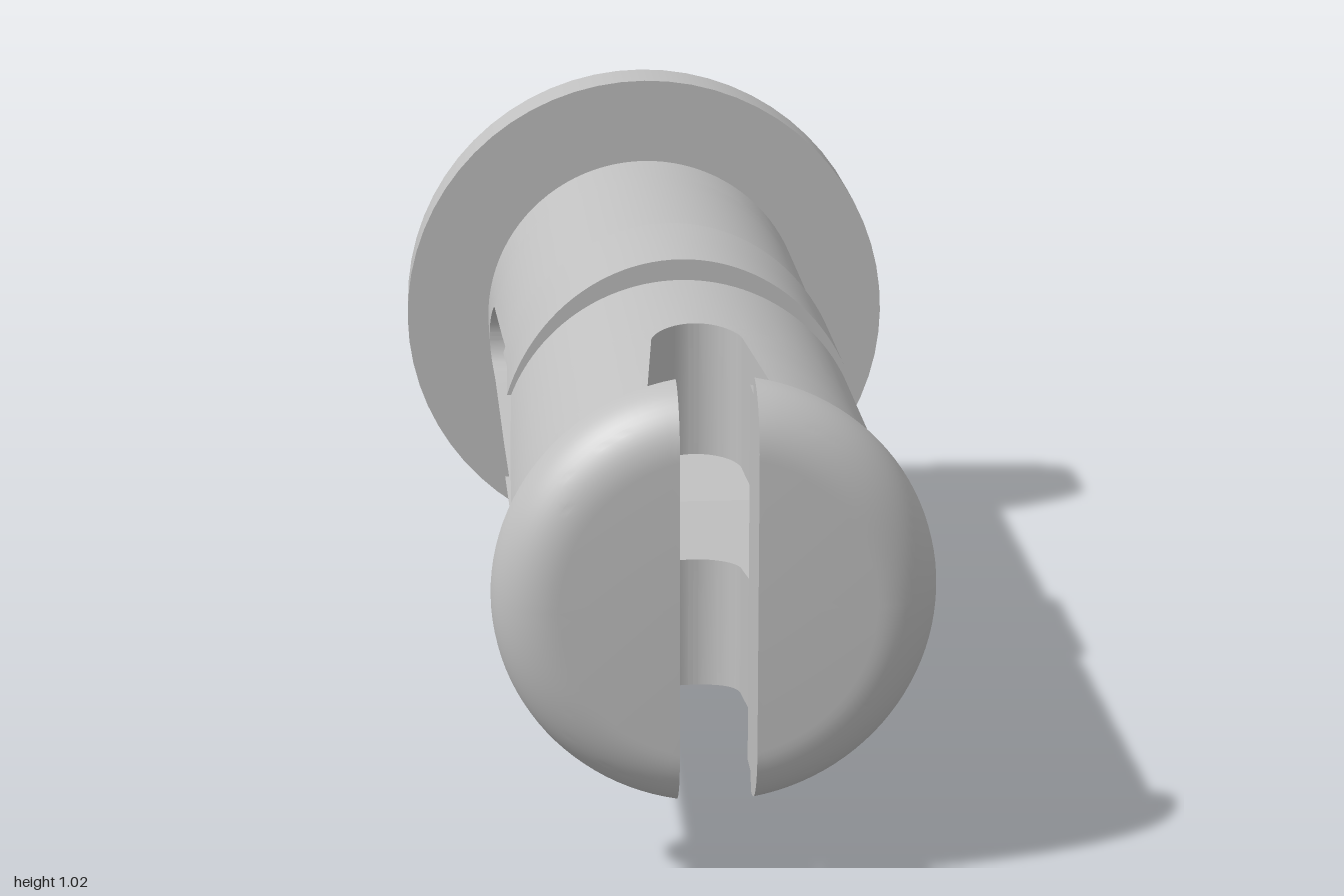
import * as THREE from 'three';
import { toCreasedNormals } from 'three/addons/utils/BufferGeometryUtils.js';

const AXIS_Y = 0.511;                 // height of the pin's centre line
const FLANGE_FRONT = -0.872;
const R = 0.338;                      // shank radius
const RING = [-0.133, 0.155];         // raised band on the shank
const HEAD = 0.9, HEAD_R = 0.369;     // widest point of the snap head
const STEP = 0.833;                   // where the front slot narrows
const WIN = { mid: 0.01, arc: 0.645, r: 0.082, half: 0.1375 };
const SLOT = { arc: 0.542, r: 0.08 };

// Half height of the window that runs through the shank from side to side
function windowHalf(z) {
  const d = Math.abs(z - WIN.mid);
  if (d < WIN.arc) return WIN.half + (WIN.r - WIN.half) * d / WIN.arc;
  return Math.sqrt(Math.max(0, WIN.r ** 2 - (d - WIN.arc) ** 2));
}

// Half width of the slot that runs through the head from top to bottom
function slotHalf(z) {
  if (z > STEP) return 0.064;
  if (z > SLOT.arc) return SLOT.r + (0.106 - SLOT.r) * (z - SLOT.arc) / (STEP - SLOT.arc);
  return Math.sqrt(Math.max(0, SLOT.r ** 2 - (SLOT.arc - z) ** 2));
}

// Outer half axes [x, y]
function outer(z) {
  if (z > RING[0] && z < RING[1]) return [0.341, 0.377];
  if (z <= 0.888) return [R, R];
  let r;
  if (z < HEAD) r = 0.352 + (HEAD_R - 0.352) * (z - 0.888) / (HEAD - 0.888);
  else r = 0.26 + (HEAD_R - 0.26) * Math.sqrt(Math.max(0, 1 - ((z - HEAD) / (1 - HEAD)) ** 2));
  return [r, r];
}

// One quarter of the cross-section, counter-clockwise from the inner corner
function section(z, side = 0) {
  const e = z + side * 1e-6, n = 24;
  const [a, b] = outer(e), w = windowHalf(e), s = slotHalf(e);
  const t0 = Math.asin(w / b), t1 = Math.acos(s / a);
  const pts = [new THREE.Vector3(s, w, z)];
  for (let i = 0; i <= n; i++) {
    const t = t0 + (t1 - t0) * i / n;
    pts.push(new THREE.Vector3(a * Math.cos(t), b * Math.sin(t), z));
  }
  return { pts, w, s };
}

// Cross-sections from flange to head tip, doubled at sharp steps
function sections() {
  const steps = [...RING, STEP, 0.888];
  const zs = [FLANGE_FRONT, WIN.mid, 0.3, -0.3, 1, ...steps];
  const n = 14;
  for (let i = 0; i <= n; i++) {
    const c = Math.sin(i / n * Math.PI / 2);
    zs.push(WIN.mid + WIN.arc + WIN.r * c, WIN.mid - WIN.arc - WIN.r * c);
    zs.push(SLOT.arc - SLOT.r * c, HEAD + (1 - HEAD) * c);
  }
  zs.sort((p, q) => p - q);
  const out = [];
  zs.forEach((z, i) => {
    if (i && z - zs[i - 1] < 1e-7) return;
    if (steps.includes(z)) out.push(section(z, -1), section(z, 1));
    else out.push(section(z));
  });
  return out;
}

function pinGeometry() {
  const pos = [];
  const ab = new THREE.Vector3(), ac = new THREE.Vector3();
  // Adds a triangle to all four mirrored quarters
  const tri = (a, b, c) => {
    ab.subVectors(b, a); ac.subVectors(c, a);
    if (ab.cross(ac).length() < 1e-9) return;
    for (const sx of [1, -1]) for (const sy of [1, -1]) {
      const order = sx * sy > 0 ? [a, b, c] : [a, c, b];
      for (const p of order) pos.push(sx * p.x, sy * p.y, p.z);
    }
  };
  const list = sections();
  for (let k = 0; k + 1 < list.length; k++) {
    const A = list[k], B = list[k + 1], m = A.pts.length;
    for (let i = 0; i < m; i++) {
      if (i === 0 && A.w + B.w < 1e-6) continue;        // no window here
      if (i === m - 1 && A.s + B.s < 1e-6) continue;    // no slot here
      const j = (i + 1) % m;
      tri(A.pts[i], A.pts[j], B.pts[j]);
      tri(A.pts[i], B.pts[j], B.pts[i]);
    }
  }
  // Flat tip of the head
  const end = list[list.length - 1].pts;
  for (let i = 1; i + 1 < end.length; i++) tri(end[0], end[i], end[i + 1]);

  const geo = new THREE.BufferGeometry();
  geo.setAttribute('position', new THREE.Float32BufferAttribute(pos, 3));
  return toCreasedNormals(geo, 0.157);
}

export function createModel() {
  const model = new THREE.Group();
  model.name = 'splitPin';
  const grey = new THREE.MeshStandardMaterial({ color: 0xc0c0c0 });
  grey.name = 'lightGrey';

  // Shank, raised band and split snap head in one piece
  const shank = new THREE.Mesh(pinGeometry(), grey);
  shank.name = 'slottedShank';
  shank.position.y = AXIS_Y;

  // Round flange at the back
  const depth = 1 + FLANGE_FRONT;
  const flange = new THREE.Mesh(new THREE.CylinderGeometry(AXIS_Y, AXIS_Y, depth, 64), grey);
  flange.name = 'flange';
  flange.rotation.x = Math.PI / 2;
  flange.position.set(0, AXIS_Y, -1 + depth / 2);

  model.add(shank, flange);
  return model;
}
